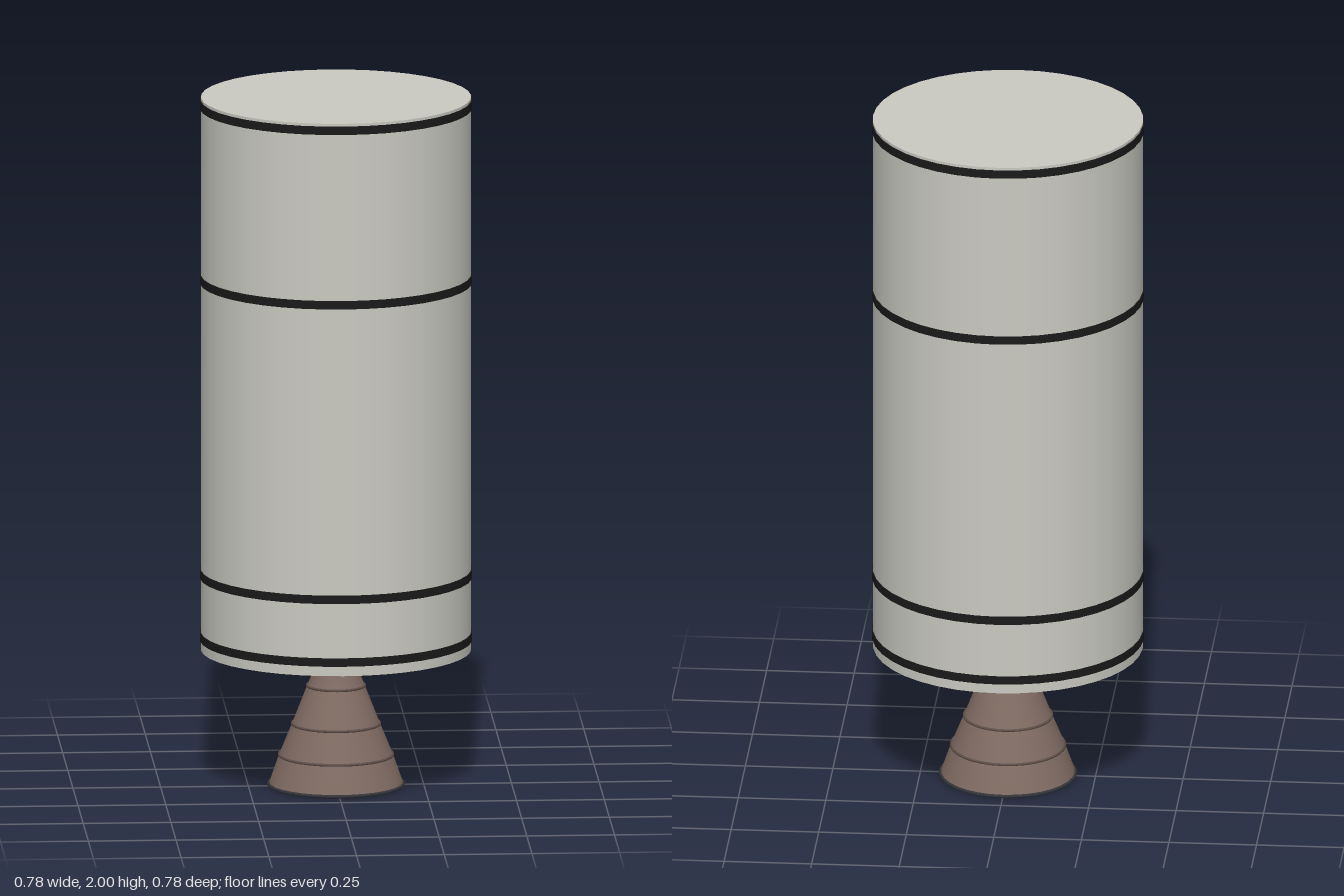
import * as THREE from 'three';

export function createModel() {
  const model = new THREE.Group();
  const hull = new THREE.MeshStandardMaterial({ name: 'paleGrey', color: 0xcacac2 });
  const black = new THREE.MeshStandardMaterial({ name: 'bandBlack', color: 0x1a1a1a });
  const metal = new THREE.MeshStandardMaterial({ name: 'nozzleBrown', color: 0x806c63, side: THREE.DoubleSide });
  const ringMetal = new THREE.MeshStandardMaterial({ name: 'ringBrown', color: 0x5e4e48 });
  const rimMetal = new THREE.MeshStandardMaterial({ name: 'rimDark', color: 0x33353a });

  function add(name, geometry, material, y = 0) {
    const mesh = new THREE.Mesh(geometry, material);
    mesh.name = name;
    mesh.position.y = y;
    model.add(mesh);
    return mesh;
  }

  // Tank with flat closed ends
  const bottom = 0.395, top = 2;
  add('tank', new THREE.CylinderGeometry(0.385, 0.385, top - bottom, 40), hull, (top + bottom) / 2);

  // Black bands, each a closed sleeve with a thin lip
  const h = 0.012;
  const sleeve = [[0.384, -h], [0.388, -h], [0.388, -h], [0.388, h], [0.388, h], [0.384, h]]
    .map(([r, y]) => new THREE.Vector2(r, y));
  [0.435, 0.617, 1.473, 1.98].forEach((y, i) =>
    add('band' + (i + 1), new THREE.LatheGeometry(sleeve, 40), black, y));

  // Open engine bell
  const bell = [[0.192, 0.004], [0.162, 0.09], [0.125, 0.18], [0.082, 0.29], [0.052, 0.365], [0.052, 0.397]];
  add('engineBell', new THREE.LatheGeometry(bell.map(([r, y]) => new THREE.Vector2(r, y)), 32), metal);

  // Stiffening rings, throat collar and exit rim
  function ring(name, radius, tube, y, material) {
    add(name, new THREE.TorusGeometry(radius, tube, 8, 32).rotateX(Math.PI / 2), material, y);
  }
  [[0.162, 0.09], [0.125, 0.18], [0.082, 0.29]].forEach(([r, y], i) =>
    ring('bellRing' + (i + 1), r, 0.004, y, ringMetal));
  ring('throatRing', 0.053, 0.004, 0.367, ringMetal);
  ring('exitRim', 0.192, 0.005, 0.005, rimMetal);
  add('throat', new THREE.CylinderGeometry(0.057, 0.055, 0.02, 32), metal, 0.386);

  return model;
}
